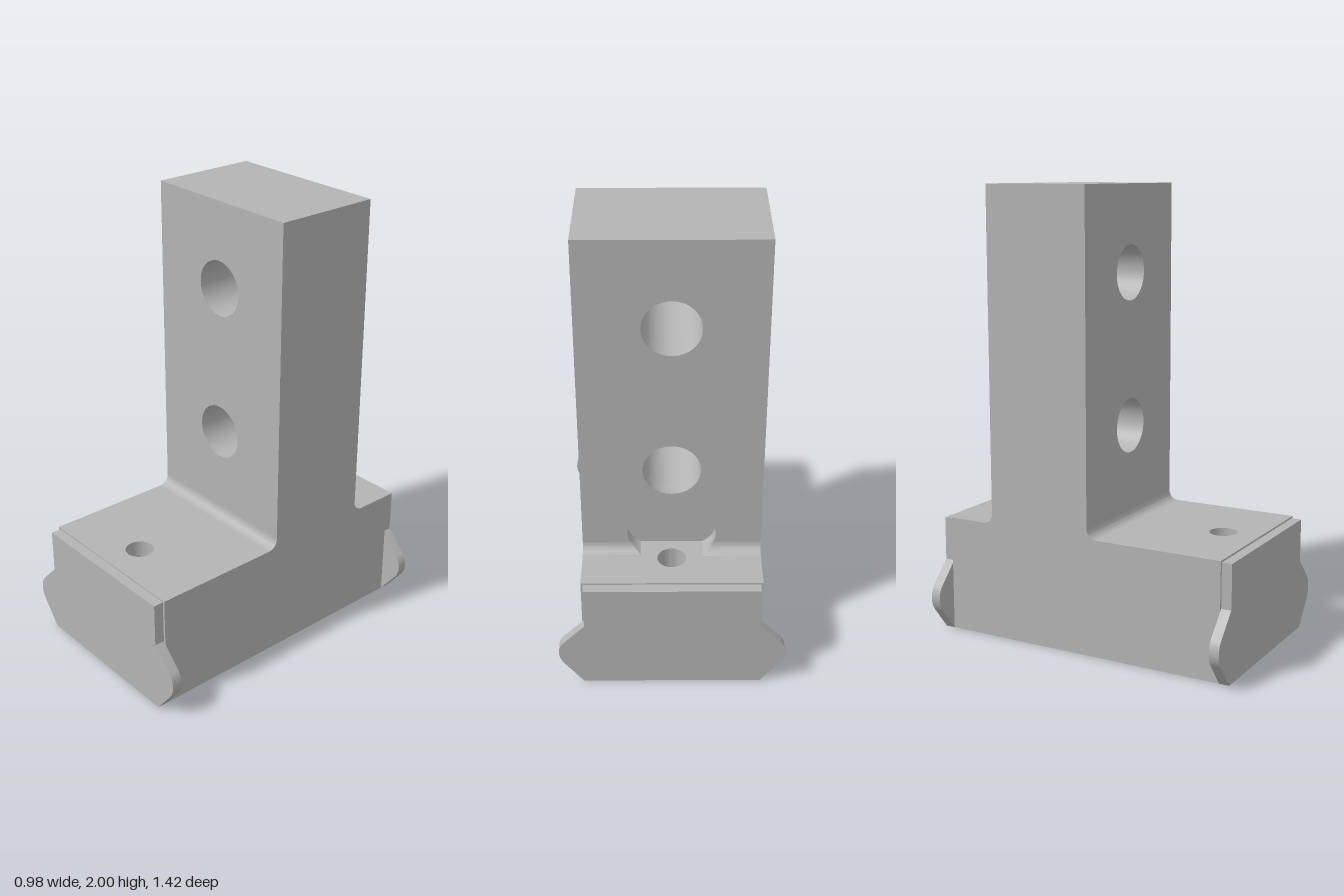
import * as THREE from 'three';
import { toCreasedNormals } from 'three/addons/utils/BufferGeometryUtils.js';

const W = 0.385;               // half width of the block
const BODY_Z = 0.665;          // half length of the block
const TOP = 0.52;              // top of the base
const POST_F = 0.04, POST_B = -0.445;
const SLOT = { x: 0.09, y: 0.61, r: 0.1, depth: 0.06 };
const FILLET = 0.045;

function rect(x0, y0, x1, y1, T = THREE.Shape) {
  return new T([[x0, y0], [x1, y0], [x1, y1], [x0, y1]].map(p => new THREE.Vector2(...p)));
}

function circle(x, y, r) {
  return new THREE.Path().absarc(x, y, r, 0, Math.PI * 2, false);
}

function extrude(shape, depth) {
  return new THREE.ExtrudeGeometry(shape, { depth, bevelEnabled: false, curveSegments: 24 });
}

// Half width of the rounded slot at a given height
function slotEdge(y) {
  return SLOT.x + Math.sqrt(Math.max(0, SLOT.r ** 2 - (y - SLOT.y) ** 2));
}

// Concave fillet section, extruded along its own z
function filletBar(length) {
  const s = new THREE.Shape();
  s.moveTo(0, 0);
  s.lineTo(FILLET, 0);
  s.absarc(FILLET, FILLET, FILLET, -Math.PI / 2, -Math.PI, true);
  s.lineTo(0, 0);
  return extrude(s, length);
}

export function createModel() {
  const group = new THREE.Group();
  const grey = new THREE.MeshStandardMaterial({ color: 0xb4b4b4 });
  grey.name = 'plain grey';

  function add(name, geometry) {
    const mesh = new THREE.Mesh(toCreasedNormals(geometry, 0.5), grey);
    mesh.name = name;
    group.add(mesh);
  }

  // Base slab with two vertical screw holes
  const slab = rect(-W, -BODY_Z, W, BODY_Z);
  slab.holes.push(circle(0, 0.5, 0.062), circle(0, -0.5, 0.062));
  add('baseSlab', extrude(slab, TOP - 0.17).rotateX(-Math.PI / 2).translate(0, 0.17, 0));

  // Lower rim around the underside pocket
  const rim = rect(-W, -BODY_Z, W, BODY_Z);
  rim.holes.push(rect(-0.19, -0.655, 0.19, 0.655, THREE.Path));
  add('baseRim', extrude(rim, 0.17).rotateX(-Math.PI / 2));

  // Upright post with two cross holes
  const crossHoles = () => [circle(0, 1.62, 0.122), circle(0, 0.945, 0.122)];
  const post = rect(-W, TOP, W, 2);
  post.holes.push(...crossHoles());
  const backLayer = POST_B + SLOT.depth;
  add('post', extrude(post, POST_F - backLayer).translate(0, 0, backLayer));

  // Back layer of the post, notched by the rounded slot
  const back = new THREE.Shape();
  const a = Math.asin((TOP - SLOT.y) / SLOT.r);
  back.moveTo(slotEdge(TOP), TOP);
  back.lineTo(W, TOP);
  back.lineTo(W, 2);
  back.lineTo(-W, 2);
  back.lineTo(-W, TOP);
  back.lineTo(-slotEdge(TOP), TOP);
  back.absarc(-SLOT.x, SLOT.y, SLOT.r, Math.PI - a, Math.PI / 2, true);
  back.absarc(SLOT.x, SLOT.y, SLOT.r, Math.PI / 2, a, true);
  back.holes.push(...crossHoles());
  add('postBackLayer', extrude(back, SLOT.depth).translate(0, 0, POST_B));

  // Front fillet, full width
  add('frontFillet', filletBar(2 * W).rotateY(-Math.PI / 2).translate(W, TOP, POST_F));

  // Back fillets, with inner ends trimmed to the slot curve
  for (const s of [-1, 1]) {
    const g = filletBar(W).rotateY(Math.PI / 2).translate(s < 0 ? -W : 0, TOP, POST_B);
    const p = g.attributes.position;
    for (let i = 0; i < p.count; i++) {
      if (Math.abs(p.getX(i)) < 0.01) p.setX(i, s * slotEdge(p.getY(i)));
    }
    add(s < 0 ? 'backFilletRight' : 'backFilletLeft', g);
  }

  // End plates with rounded side lugs
  const plate = new THREE.Shape();
  plate.moveTo(-W, 0);
  plate.lineTo(W, 0);
  plate.lineTo(0.468, 0.105);
  plate.bezierCurveTo(0.496, 0.142, 0.496, 0.19, 0.468, 0.222);
  plate.lineTo(0.375, 0.317);
  plate.lineTo(0.375, 0.512);
  plate.lineTo(-0.375, 0.512);
  plate.lineTo(-0.375, 0.317);
  plate.lineTo(-0.468, 0.222);
  plate.bezierCurveTo(-0.496, 0.19, -0.496, 0.142, -0.468, 0.105);
  plate.lineTo(-W, 0);
  const thick = 0.71 - BODY_Z;
  add('frontEndPlate', extrude(plate, thick).translate(0, 0, BODY_Z));
  add('backEndPlate', extrude(plate, thick).translate(0, 0, -0.71));

  return group;
}
